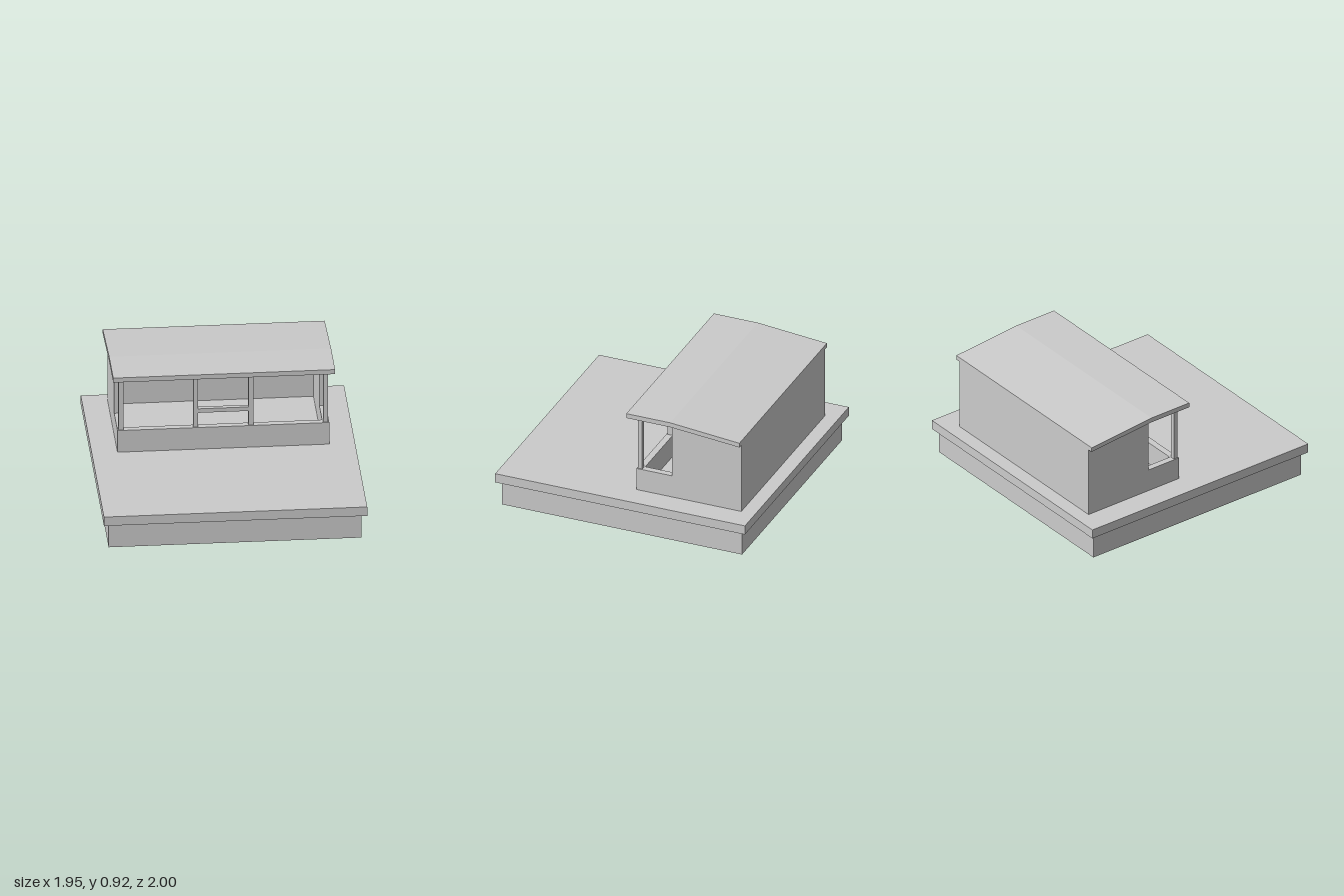
import * as THREE from 'three';

const material = new THREE.MeshStandardMaterial({ color: 0xcccccc, flatShading: true });
const shellMaterial = new THREE.MeshStandardMaterial({ color: 0xcccccc, flatShading: true, side: THREE.DoubleSide });

function add(parent, name, geometry, surface = material) {
  const mesh = new THREE.Mesh(geometry, surface);
  mesh.name = name;
  parent.add(mesh);
  return mesh;
}

// Box given by its limits on each axis
function box(parent, name, [x0, x1], [y0, y1], [z0, z1]) {
  const mesh = add(parent, name, new THREE.BoxGeometry(x1 - x0, y1 - y0, z1 - z0));
  mesh.position.set((x0 + x1) / 2, (y0 + y1) / 2, (z0 + z1) / 2);
}

// Side profile of [z, y] points, extruded across x and centred on x
function sideProfile(parent, name, points, width, x) {
  const shape = new THREE.Shape(points.map(([z, y]) => new THREE.Vector2(z, y)));
  const geometry = new THREE.ExtrudeGeometry(shape, { depth: width, bevelEnabled: false });
  geometry.translate(0, 0, -width / 2).rotateY(-Math.PI / 2);
  add(parent, name, geometry).position.x = x;
}

export function createModel() {
  const model = new THREE.Group();
  model.name = 'pavilionOnPlatform';

  // Platform: one open-bottomed shell, skirt stepping out to the slab edge
  const slabHalf = 0.973;
  const profile = [[0.935, 0], [0.935, 0.197], [slabHalf, 0.197], [slabHalf, 0.27], [0, 0.27]]
    .map(([r, y]) => new THREE.Vector2(r * Math.SQRT2, y));
  const platform = new THREE.LatheGeometry(profile, 4, Math.PI / 4).toNonIndexed();
  platform.scale(1, 1, 1 / slabHalf);
  platform.computeVertexNormals();
  add(model, 'platform', platform, shellMaterial);

  const shelter = new THREE.Group();
  shelter.name = 'shelter';
  model.add(shelter);

  const floor = 0.27, sill = 0.448, eave = 0.878, backEave = 0.829;
  const back = -0.89, front = -0.05, bend = -0.335;
  const half = 0.783, wall = 0.05, inner = half - wall;

  // Side walls: full height behind, low parapet in front
  for (const side of [-1, 1]) {
    sideProfile(shelter, side > 0 ? 'leftWall' : 'rightWall', [
      [back, floor], [front, floor], [front, sill], [bend, sill], [bend, eave], [back, backEave],
    ], wall, side * (half - wall / 2));
  }
  box(shelter, 'frontParapet', [-inner, inner], [floor, sill], [front - wall, front]);
  sideProfile(shelter, 'backWall', [
    [back, floor], [back + wall, floor], [back + wall, 0.833], [back, backEave],
  ], inner * 2, 0);

  // Roof: level at the front, falling towards the back
  sideProfile(shelter, 'roof', [
    [back, backEave], [bend, eave], [0.015, eave], [0.015, 0.915], [bend, 0.915], [back, 0.864],
  ], 1.64, 0);

  // Posts along the parapet and the rail between the middle pair
  const postZ = [-0.093, -0.058];
  for (const x of [-0.757, -0.204, 0.204, 0.757]) {
    box(shelter, 'post', [x - 0.018, x + 0.018], [sill, eave], postZ);
  }
  box(shelter, 'rail', [-0.186, 0.186], [0.565, 0.598], postZ);

  return model;
}
